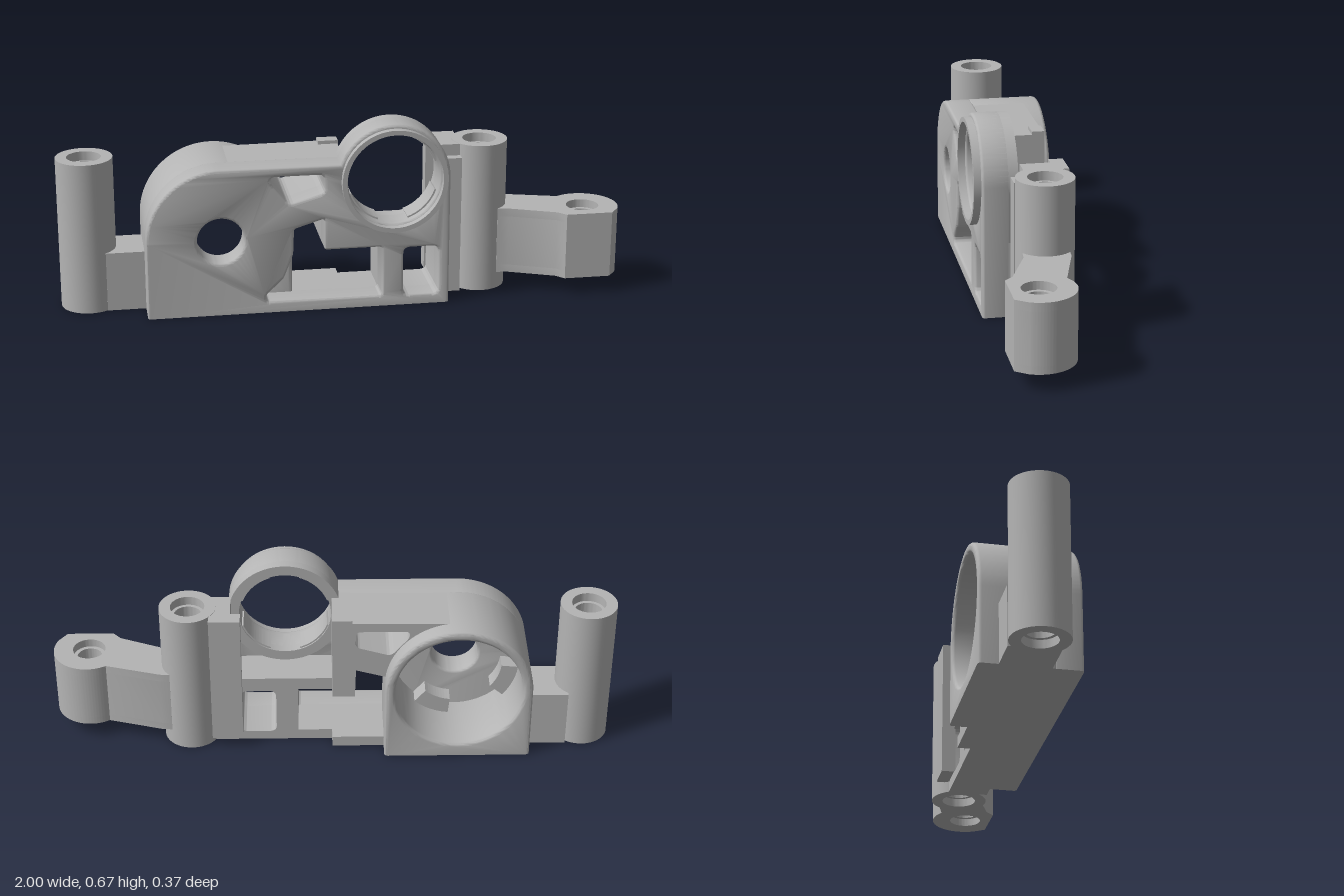
import * as THREE from 'three';
import { toCreasedNormals } from 'three/addons/utils/BufferGeometryUtils.js';

const grey = new THREE.MeshStandardMaterial({ color: 0xb4b4b4 });
grey.name = 'grey plastic';

const CUP = { x: -0.445, y: 0.275, r: 0.26 };
const RING = { x: 0.165, y: 0.47, r: 0.2 };

// Closed polygon with softened corners
function rounded(points, r, Type = THREE.Path) {
  const path = new Type();
  const v = points.map(p => new THREE.Vector2(...p));
  v.forEach((p, i) => {
    const toward = q => p.clone().add(q.clone().sub(p).setLength(r));
    const a = toward(v[(i + v.length - 1) % v.length]);
    const b = toward(v[(i + 1) % v.length]);
    if (i === 0) path.moveTo(a.x, a.y); else path.lineTo(a.x, a.y);
    path.quadraticCurveTo(p.x, p.y, b.x, b.y);
  });
  path.closePath();
  return path;
}

function polygon(points) {
  return new THREE.Shape(points.map(p => new THREE.Vector2(...p)));
}

function circle(x, y, r, Type = THREE.Path) {
  const c = new Type();
  c.absarc(x, y, r, 0, Math.PI * 2, false);
  return c;
}

// Extrude between two depths, with optional rounded rims
function slab(shape, z0, z1, bevel = 0) {
  const g = new THREE.ExtrudeGeometry(shape, {
    depth: z1 - z0 - 2 * bevel, curveSegments: 32, bevelEnabled: bevel > 0,
    bevelThickness: bevel, bevelSize: bevel, bevelOffset: -bevel, bevelSegments: 3
  });
  g.translate(0, 0, z0 + bevel);
  return g;
}

// Keep the standing face square by dropping its bevel
function squareBottom(g) {
  const p = g.attributes.position;
  for (let i = 0; i < p.count; i++) if (p.getY(i) < 0.02) p.setY(i, 0);
  return g;
}

export function createModel() {
  const model = new THREE.Group();
  const add = (name, g) => {
    const mesh = new THREE.Mesh(toCreasedNormals(g, 0.6), grey);
    mesh.name = name;
    model.add(mesh);
  };
  const box = (name, x0, x1, y0, y1, z0, z1) => {
    const g = new THREE.BoxGeometry(x1 - x0, y1 - y0, z1 - z0);
    g.translate((x0 + x1) / 2, (y0 + y1) / 2, (z0 + z1) / 2);
    add(name, g);
  };
  // Curved pad following the inside of a round opening
  const pad = (name, c, rIn, rOut, mid, span, z0, z1) => {
    const s = new THREE.Shape();
    s.absarc(c.x, c.y, rOut, mid - span / 2, mid + span / 2, false);
    s.absarc(c.x, c.y, rIn, mid + span / 2, mid - span / 2, true);
    add(name, slab(s, z0, z1));
  };

  const upperWindow = () => rounded([[-0.27, 0.5], [-0.083, 0.5], [-0.08, 0.435], [-0.205, 0.398], [-0.27, 0.475]], 0.018);
  const sideWindow = () => rounded([[0.2, 0.035], [0.327, 0.035], [0.327, 0.215], [0.2, 0.215]], 0.025);

  // Front plate with arched corner, ring outline and windows
  const front = new THREE.Shape();
  front.moveTo(-0.705, 0);
  front.lineTo(0.365, 0);
  front.lineTo(0.365, RING.y);
  front.absarc(RING.x, RING.y, RING.r, 0, Math.PI - 0.331, false);
  front.lineTo(CUP.x, 0.535);
  front.absarc(CUP.x, CUP.y, CUP.r, Math.PI / 2, Math.PI, false);
  front.closePath();
  const bigWindow = rounded([
    [-0.285, 0.04], [0.122, 0.04], [0.122, 0.222], [-0.082, 0.222], [-0.082, 0.338],
    [-0.188, 0.305], [-0.192, 0.21], [-0.225, 0.125], [-0.29, 0.062]
  ], 0.01);
  front.holes.push(bigWindow, upperWindow(), sideWindow(),
    circle(CUP.x, CUP.y, 0.083), circle(RING.x, RING.y, 0.163));
  add('frontPlate', squareBottom(slab(front, 0.06, 0.16, 0.01)));

  // Ring with raised lip and inner pads
  const ring = circle(RING.x, RING.y, RING.r, THREE.Shape);
  ring.holes.push(circle(RING.x, RING.y, 0.163));
  add('ring', slab(ring, 0.035, 0.14));
  const lip = circle(RING.x, RING.y, 0.187, THREE.Shape);
  lip.holes.push(circle(RING.x, RING.y, 0.17));
  add('ringLip', slab(lip, 0.15, 0.185));
  for (let i = 0; i < 4; i++) {
    pad('ringPad', RING, 0.157, 0.165, Math.PI / 4 + i * Math.PI / 2, 0.9, 0.04, 0.13);
  }

  // Rear cup, open at the back
  const cup = new THREE.Shape();
  cup.moveTo(CUP.x - CUP.r, 0);
  cup.lineTo(CUP.x + CUP.r, 0);
  cup.lineTo(CUP.x + CUP.r, CUP.y);
  cup.absarc(CUP.x, CUP.y, CUP.r, 0, Math.PI, false);
  cup.closePath();
  cup.holes.push(circle(CUP.x, CUP.y, 0.225));
  add('rearCup', squareBottom(slab(cup, -0.187, 0.075, 0.012)));
  for (let i = 0; i < 4; i++) {
    pad('cupPad', CUP, 0.165, 0.23, 0.4 + i * Math.PI / 2, 0.6, 0.0, 0.065);
  }

  // Solid web between the cup and the ring
  const web = new THREE.Shape();
  web.moveTo(CUP.x, 0.535);
  web.absarc(CUP.x, CUP.y, CUP.r - 0.003, Math.PI / 2, 0.12, true);
  web.lineTo(-0.083, 0.336);
  web.lineTo(-0.08, 0.222);
  web.lineTo(0, 0.222);
  web.lineTo(0, 0.535);
  web.closePath();
  web.holes.push(upperWindow());
  add('upperWeb', slab(web, -0.125, 0.075));
  box('bottomRail', -0.2, 0, 0, 0.04, -0.125, 0.07);
  box('webRib', -0.07, 0.002, 0.4, 0.547, -0.125, -0.08);

  // Lower frame behind the ring
  const lower = polygon([
    [0, 0], [0.365, 0], [0.365, 0.27], [0, 0.27], [0, 0.222],
    [0.122, 0.222], [0.122, 0.04], [0, 0.04]
  ]);
  lower.holes.push(sideWindow());
  add('lowerFrame', slab(lower, -0.08, 0.075));

  // Stepped join to the left post
  box('sideRib', 0.32, 0.43, 0.04, 0.547, -0.125, -0.075);
  box('sideWall', 0.355, 0.438, 0, 0.547, -0.08, 0.03);
  box('sideStep', 0.36, 0.425, 0, 0.505, 0.025, 0.062);

  // Mounting posts with stepped bores
  [-0.9, 0.505].forEach(x => {
    const g = new THREE.LatheGeometry([
      [0.048, 0.03], [0.06, 0.03], [0.06, 0], [0.1, 0], [0.1, 0.548],
      [0.06, 0.548], [0.06, 0.515], [0.048, 0.515], [0.048, 0.03]
    ].map(p => new THREE.Vector2(...p)), 48);
    g.translate(x, 0, -0.028);
    add('mountingPost', g);
  });
  box('rightLink', -0.84, -0.69, 0, 0.215, -0.12, 0.055);

  // Cranked arm with a round bored end, in layers for the stepped bore
  [[0.062, 0.09, 0.058], [0.09, 0.275, 0.044], [0.275, 0.305, 0.058]].forEach(([y0, y1, bore]) => {
    const arm = new THREE.Shape();
    arm.moveTo(0.575, -0.1);
    arm.lineTo(0.61, -0.097);
    arm.lineTo(0.8, -0.043);
    arm.absarc(0.872, 0.063, 0.125, -2.15, 0.45, false);
    arm.lineTo(0.955, 0.158);
    arm.lineTo(0.79, 0.158);
    arm.lineTo(0.762, 0.128);
    arm.lineTo(0.6, 0.062);
    arm.lineTo(0.56, 0.058);
    arm.closePath();
    arm.holes.push(circle(0.87, 0.063, bore));
    const g = slab(arm, 0, y1 - y0);
    g.rotateX(Math.PI / 2);
    g.translate(0, y1, 0);
    add('sideArm', g);
  });

  return model;
}
